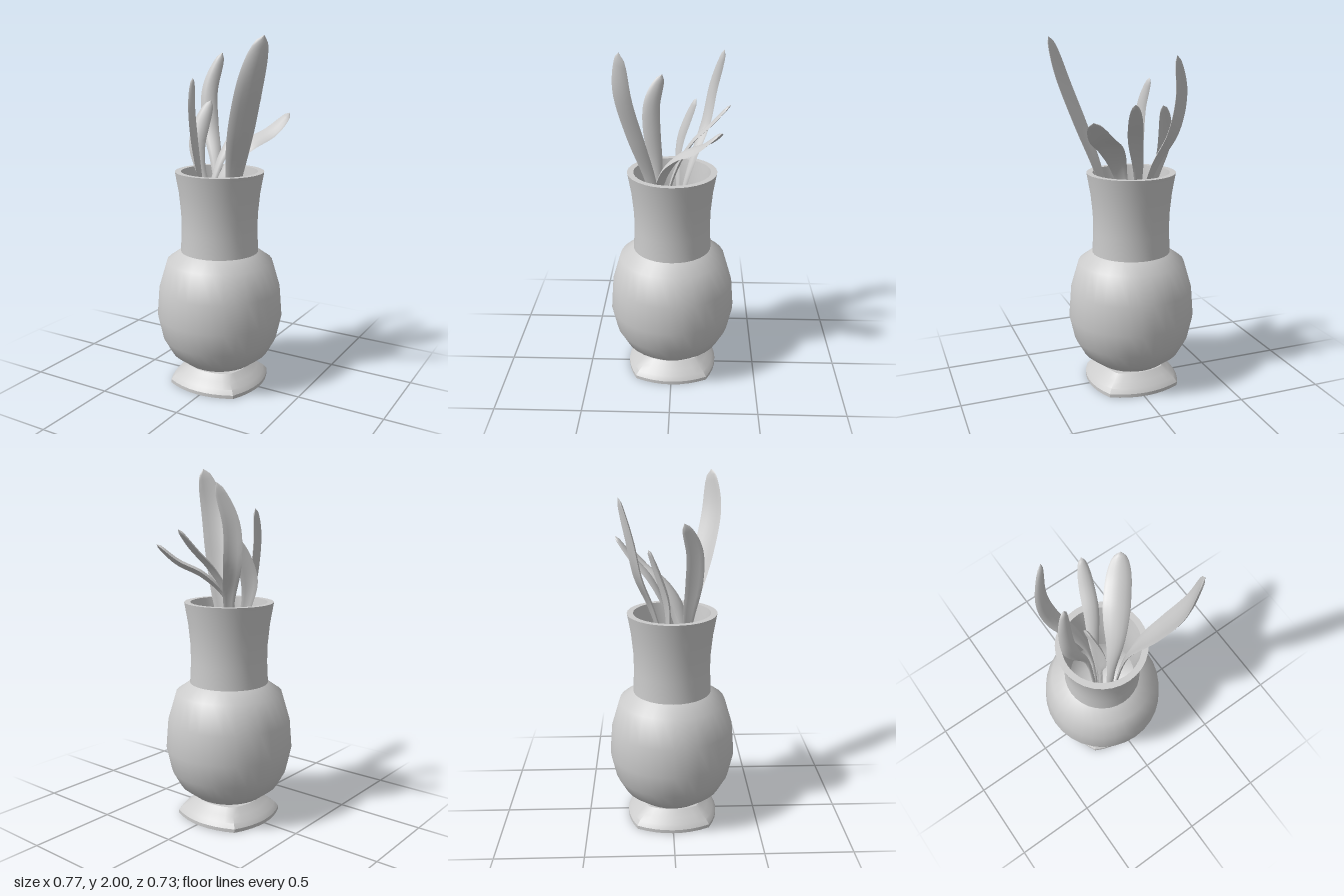
import * as THREE from 'three';
import { toCreasedNormals } from 'three/addons/utils/BufferGeometryUtils.js';

const material = new THREE.MeshStandardMaterial({ color: 0xcccccc, side: THREE.DoubleSide });
const CX = -0.02; // vase axis

function addMesh(parent, name, geometry, crease = 0.7) {
  const mesh = new THREE.Mesh(toCreasedNormals(geometry, crease), material);
  mesh.name = name;
  parent.add(mesh);
  return mesh;
}

// Skin a list of closed rings, each with the same number of points
function loft(rings) {
  const n = rings[0].length, index = [];
  for (let i = 0; i < rings.length - 1; i++) {
    for (let j = 0; j < n; j++) {
      const k = (j + 1) % n;
      const a = i * n + j, b = i * n + k, c = a + n, d = b + n;
      index.push(a, b, d, a, d, c);
    }
  }
  const geometry = new THREE.BufferGeometry().setFromPoints(rings.flat());
  geometry.setIndex(index);
  geometry.computeVertexNormals();
  return geometry;
}

function lathe(points) {
  return new THREE.LatheGeometry(points.map(([r, y]) => new THREE.Vector2(r, y)), 32);
}

// Square foot with bowed sides and a sloping top
function footGeometry() {
  const profile = [[0.001, 0], [1, 0], [1, 0.02], [0.93, 0.045], [0.8, 0.07], [0.66, 0.105], [0.001, 0.105]];
  const steps = 8;
  return loft(profile.map(([s, y]) => {
    const ring = [];
    for (let side = 0; side < 4; side++) {
      for (let i = 0; i < steps; i++) {
        const u = -1 + (2 * i) / steps;
        const p = new THREE.Vector3(0.21 * u * s, y, (0.265 - 0.055 * u * u) * s);
        ring.push(p.applyAxisAngle(new THREE.Vector3(0, 1, 0), side * Math.PI / 2));
      }
    }
    return ring;
  }));
}

// Thin cupped blade along a path, spread in the given direction
function leafGeometry({ path, spread, width, cup }) {
  const curve = new THREE.CatmullRomCurve3(path.map(p => new THREE.Vector3(...p)));
  const across = new THREE.Vector3(...spread).normalize();
  const rings = [], length = 36, sides = 12;
  for (let i = 0; i <= length; i++) {
    const t = i / length;
    const centre = curve.getPoint(t), T = curve.getTangent(t);
    const W = across.clone().addScaledVector(T, -across.dot(T)).normalize();
    const N = T.clone().cross(W);
    let half = (width / 2) * (0.25 + 0.75 * THREE.MathUtils.smoothstep(t, 0.1, 0.65));
    if (t > 0.65) half *= Math.sqrt(Math.max(0.0004, 1 - ((t - 0.65) / 0.35) ** 2.5));
    const thick = Math.min(0.007, half * 0.5);
    const ring = [];
    for (let j = 0; j < sides; j++) {
      const a = (j / sides) * Math.PI * 2, c = Math.cos(a);
      ring.push(centre.clone()
        .addScaledVector(W, half * c)
        .addScaledVector(N, thick * Math.sin(a) + cup * half * (c * c - 0.4)));
    }
    rings.push(ring);
  }
  return loft(rings);
}

const leaves = [
  { name: 'tallFrontLeaf', width: 0.15, cup: 0.25, spread: [1, 0, -1],
    path: [[0.02, 0.2, 0.03], [0.09, 1.05, 0.08], [0.145, 1.27, 0.12], [0.225, 1.52, 0.19], [0.31, 1.78, 0.245], [0.375, 2, 0.24]] },
  { name: 'broadBackLeaf', width: 0.15, cup: 0.25, spread: [0.7, -0.25, 0.7],
    path: [[-0.02, 0.2, 0.06], [-0.02, 1.05, 0.09], [0.04, 1.28, 0.04], [0.12, 1.41, -0.06], [0.21, 1.485, -0.17], [0.285, 1.58, -0.26]] },
  { name: 'centreBackLeaf', width: 0.085, cup: 0.25, spread: [1, 0, 0.3],
    path: [[-0.04, 0.2, 0.02], [-0.07, 1.05, 0.03], [-0.05, 1.28, -0.03], [0, 1.45, -0.12], [0.04, 1.56, -0.22], [0.075, 1.67, -0.31]] },
  { name: 'tallBackLeaf', width: 0.1, cup: 0.3, spread: [0.9, 0, -0.45],
    path: [[-0.04, 0.2, -0.02], [-0.06, 1.05, -0.05], [-0.11, 1.3, -0.11], [-0.19, 1.5, -0.18], [-0.215, 1.7, -0.22], [-0.165, 1.91, -0.28]] },
  { name: 'narrowFrontLeaf', width: 0.1, cup: -0.2, spread: [0.2, 0, 1],
    path: [[-0.05, 0.2, 0.03], [-0.08, 1.05, 0.07], [-0.1, 1.27, 0.09], [-0.11, 1.45, 0.115], [-0.125, 1.62, 0.115], [-0.155, 1.775, 0.06]] },
  { name: 'shortSideLeaf', width: 0.1, cup: 0.3, spread: [1, 0, -0.35],
    path: [[-0.05, 0.2, 0], [-0.1, 1.05, -0.03], [-0.17, 1.28, -0.025], [-0.195, 1.4, -0.04], [-0.185, 1.52, -0.08], [-0.155, 1.64, -0.13]] },
];

export function createModel() {
  const model = new THREE.Group();
  model.name = 'vaseWithLeaves';

  const vase = new THREE.Group();
  vase.name = 'vase';
  vase.position.x = CX;
  model.add(vase);

  addMesh(vase, 'foot', footGeometry(), 0.5);

  // Rounded belly up to the shoulder ledge
  addMesh(vase, 'body', lathe([[0, 0.085], [0.1, 0.092], [0.2, 0.125], [0.285, 0.19], [0.335, 0.28],
    [0.365, 0.415], [0.352, 0.58], [0.305, 0.74], [0.22, 0.8]]));

  // Flared neck, flat rim and inner wall
  addMesh(vase, 'neck', lathe([[0.225, 0.78], [0.218, 0.92], [0.22, 1.02], [0.232, 1.14], [0.253, 1.26],
    [0.218, 1.26], [0.198, 1.14], [0.187, 1.02], [0.186, 0.92], [0.19, 0.78]]));

  // Inside of the belly
  addMesh(vase, 'interior', lathe([[0.19, 0.78], [0.275, 0.72], [0.32, 0.58], [0.333, 0.415],
    [0.3, 0.28], [0.25, 0.2], [0.17, 0.145], [0, 0.12]]));

  const bunch = new THREE.Group();
  bunch.name = 'leaves';
  model.add(bunch);
  for (const leaf of leaves) addMesh(bunch, leaf.name, leafGeometry(leaf), 1.2);

  return model;
}
